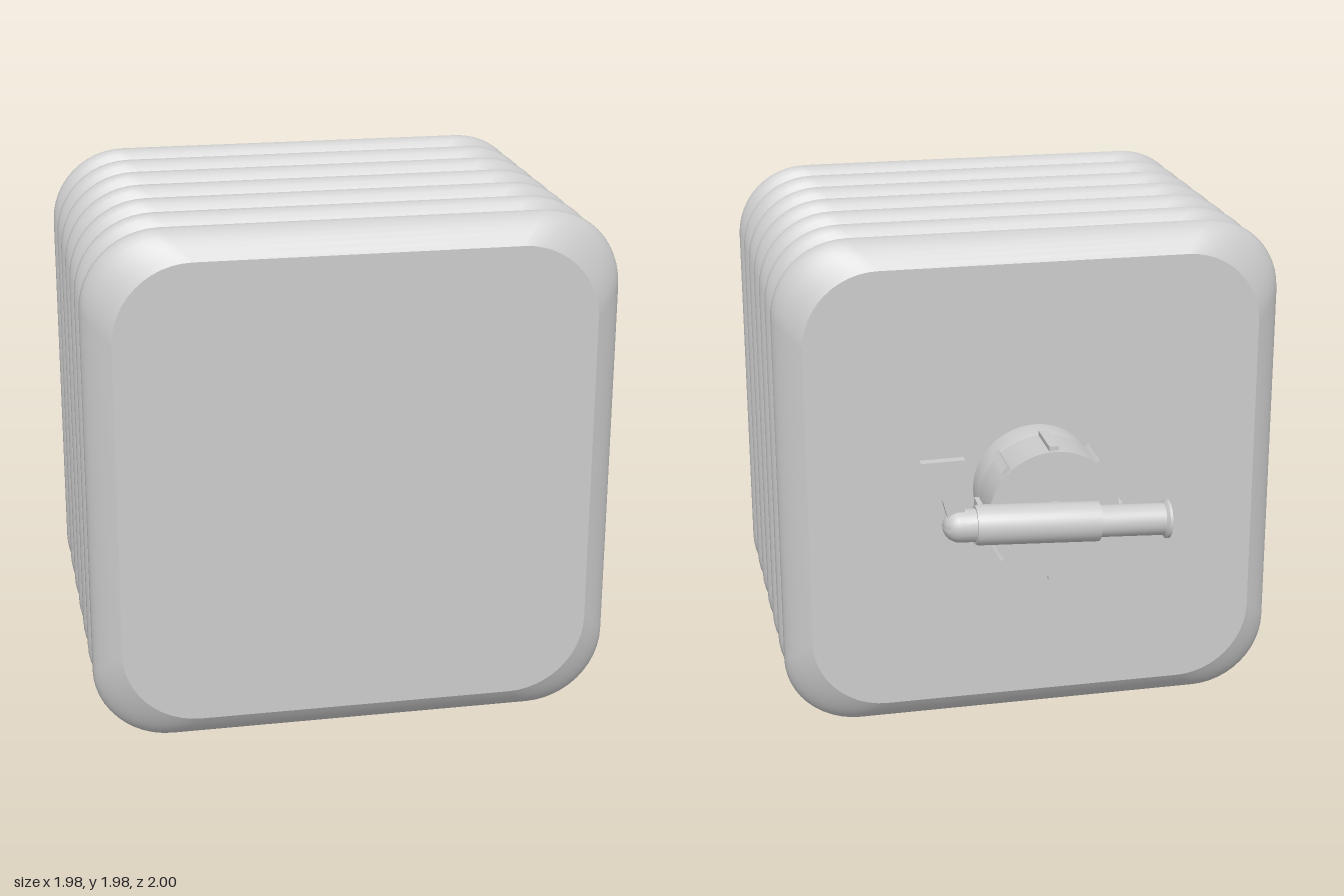
import * as THREE from 'three';
import { toCreasedNormals } from 'three/addons/utils/BufferGeometryUtils.js';

const MID_Y = 0.99, PITCH = 0.216, FOLDS = 7, FRONT_Z = 1, BACK_Z = -0.51;
const material = new THREE.MeshStandardMaterial({ color: 0xcccccc, side: THREE.DoubleSide });

function add(parent, name, geometry, x = 0, y = 0, z = 0) {
  const mesh = new THREE.Mesh(geometry, material);
  mesh.name = name;
  mesh.position.set(x, y, z);
  parent.add(mesh);
  return mesh;
}

function lathe(points, segments = 48) {
  const profile = points.map(([r, h]) => new THREE.Vector2(r, h));
  return toCreasedNormals(new THREE.LatheGeometry(profile, segments), 0.6);
}

// Rounded square outline, counterclockwise, with a constant corner radius
function outline(half, radius = 0.29, steps = 12) {
  const points = [], c = half - radius;
  for (let k = 0; k < 4; k++) {
    const sx = k === 0 || k === 3 ? 1 : -1, sy = k < 2 ? 1 : -1;
    for (let i = 0; i <= steps; i++) {
      const a = (k + i / steps) * Math.PI / 2;
      points.push(new THREE.Vector2(sx * c + radius * Math.cos(a), sy * c + radius * Math.sin(a)));
    }
  }
  return points;
}

// Half width of the bellows: cosine folds, with a straighter slope at both ends
function halfWidth(z) {
  const first = FRONT_Z - 0.105, last = first - PITCH * (FOLDS - 1);
  if (z > first) return 0.988 - 0.103 * ((z - first) / (FRONT_Z - first)) ** 1.6;
  if (z < last) return 0.988 - 0.103 * ((last - z) / (last - BACK_Z)) ** 1.6;
  return 0.942 + 0.046 * Math.cos((first - z) / PITCH * Math.PI * 2);
}

function bellowsGeometry() {
  const rings = FOLDS * 14, positions = [], index = [];
  let n = 0;
  for (let i = 0; i <= rings; i++) {
    const z = FRONT_Z + (BACK_Z - FRONT_Z) * i / rings;
    const ring = outline(halfWidth(z));
    n = ring.length;
    for (const p of ring) positions.push(p.x, p.y, z);
  }
  for (let i = 0; i < rings; i++) {
    for (let j = 0; j < n; j++) {
      const a = i * n + j, b = i * n + (j + 1) % n;
      index.push(a, a + n, b, b, a + n, b + n);
    }
  }
  const geometry = new THREE.BufferGeometry();
  geometry.setAttribute('position', new THREE.Float32BufferAttribute(positions, 3));
  geometry.setIndex(index);
  geometry.computeVertexNormals();
  return geometry;
}

export function createModel() {
  const model = new THREE.Group();
  model.name = 'collapsibleContainer';

  // Folding body with flat ends
  add(model, 'bellows', bellowsGeometry(), 0, MID_Y, 0);
  const end = new THREE.ShapeGeometry(new THREE.Shape(outline(0.885)));
  add(model, 'frontPanel', end, 0, MID_Y, FRONT_Z);
  add(model, 'backPanel', end, 0, MID_Y, BACK_Z).rotation.y = Math.PI;

  // Neck and screw cap, pointing backwards
  const neck = lathe([[0.245, 0.5], [0.245, 0.615], [0.24, 0.63], [0.225, 0.645]]).rotateX(-Math.PI / 2);
  add(model, 'neck', neck, 0, MID_Y, 0);
  const cap = new THREE.Group();
  cap.name = 'screwCap';
  cap.position.y = MID_Y;
  model.add(cap);
  add(cap, 'capShell', lathe([[0, 0.642], [0.25, 0.642], [0.25, 0.838], [0, 0.838]]).rotateX(-Math.PI / 2));
  for (let i = 0; i < 8; i++) {
    const a = i * Math.PI / 4;
    const rib = add(cap, 'capRib', new THREE.BoxGeometry(0.045, 0.036, 0.18),
      0.245 * Math.cos(a), 0.245 * Math.sin(a), -0.735);
    rib.rotation.z = a;
  }

  // Tap across the cap, spout dropping slightly towards the right
  const tap = new THREE.Group();
  tap.name = 'tap';
  tap.position.set(0, 0.995, -0.925);
  tap.rotation.z = 0.05;
  model.add(tap);
  const ball = [];
  for (let i = 0; i <= 8; i++) {
    const a = i / 8 * Math.PI / 2;
    ball.push([0.062 * Math.sin(a), -0.378 - 0.062 * Math.cos(a)]);
  }
  const barrel = [...ball, [0.062, -0.32], [0.07, -0.32], [0.075, -0.31], [0.075, 0.145],
    [0.06, 0.145], [0.06, 0.395], [0.073, 0.405], [0.073, 0.415], [0.05, 0.415], [0.045, 0.16], [0, 0.16]];
  add(tap, 'barrelAndSpout', lathe(barrel, 32).rotateZ(Math.PI / 2));
  for (const [x, r] of [[0, 0.05], [0.145, 0.035]]) {
    add(tap, 'tapStem', new THREE.CylinderGeometry(r, r, 0.1, 24).rotateX(Math.PI / 2), x, 0, 0.05);
  }

  // Flat lever, widening towards the top
  const lever = new THREE.Shape([[0.36, 0.02], [0.42, 0.02], [0.445, 0.1], [0.53, 0.25], [0.37, 0.26], [0.365, 0.1]]
    .map(([x, y]) => new THREE.Vector2(x, y)));
  add(tap, 'lever', new THREE.ExtrudeGeometry(lever, { depth: 0.036, bevelEnabled: false }), 0, 0, -0.018);

  return model;
}
